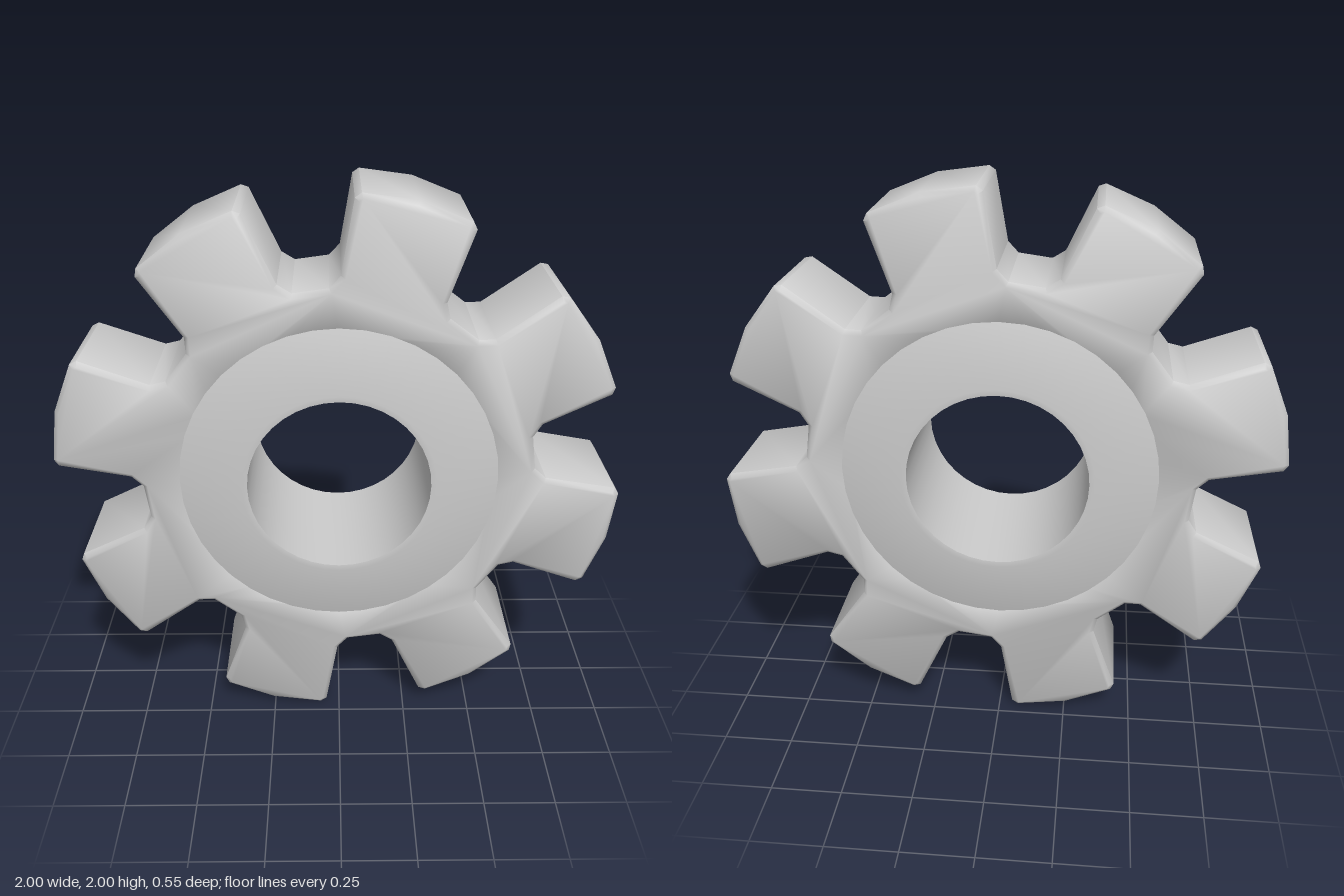
import * as THREE from 'three';
import { toCreasedNormals } from 'three/addons/utils/BufferGeometryUtils.js';

const TEETH = 8;
const FIRST_TOOTH = THREE.MathUtils.degToRad(30.3);
const HALF_DEPTH = 0.22;
const BEVEL = 0.016;

// Gear outline: each tooth widens outwards, has clipped corners and a flat root gap
function gearShape() {
  // [along the axis, sideways]
  const tooth = [[0.71, -0.18], [0.963, -0.202], [0.984, -0.184], [1.007, 0],
    [0.984, 0.184], [0.963, 0.202], [0.71, 0.18]];
  const gap = [[0.689, -0.062], [0.689, 0.062]];
  const points = [];
  const add = (list, angle) => {
    const c = Math.cos(angle), s = Math.sin(angle);
    for (const [a, w] of list) points.push(new THREE.Vector2(a * c - w * s, a * s + w * c));
  };
  const step = (Math.PI * 2) / TEETH;
  for (let i = 0; i < TEETH; i++) {
    add(tooth, FIRST_TOOTH + i * step);
    add(gap, FIRST_TOOTH + (i + 0.5) * step);
  }
  const shape = new THREE.Shape(points);
  shape.holes.push(new THREE.Path().absarc(0, 0, 0.53, 0, Math.PI * 2, true));
  return shape;
}

export function createModel() {
  const group = new THREE.Group();
  group.name = 'gear';
  const material = new THREE.MeshStandardMaterial({ color: 0xcccccc });

  // Toothed ring with bevelled edges, slightly thinner towards the tips
  const ring = new THREE.ExtrudeGeometry(gearShape(), {
    depth: 2 * (HALF_DEPTH - BEVEL), curveSegments: 20,
    bevelThickness: BEVEL, bevelSize: BEVEL, bevelOffset: -BEVEL, bevelSegments: 1,
  });
  ring.translate(0, 0, BEVEL - HALF_DEPTH);
  const pos = ring.attributes.position;
  for (let i = 0; i < pos.count; i++) {
    const r = Math.hypot(pos.getX(i), pos.getY(i));
    pos.setZ(i, pos.getZ(i) * (1 - 0.08 * Math.max(0, r - 0.56)));
  }
  const teeth = new THREE.Mesh(toCreasedNormals(ring, 0.9), material);
  teeth.name = 'toothedRing';

  // Hub: shallow cone on both faces and the round bore through the middle
  const profile = [[0.56, 0.22], [0.34, 0.277], [0.32, 0.275], [0.32, -0.275], [0.34, -0.277], [0.56, -0.22]]
    .map(([r, y]) => new THREE.Vector2(r, y));
  const lathe = new THREE.LatheGeometry(profile, 40);
  lathe.rotateX(Math.PI / 2);
  const hub = new THREE.Mesh(toCreasedNormals(lathe, 0.6), material);
  hub.name = 'hub';

  for (const mesh of [teeth, hub]) {
    mesh.position.y = 1;
    group.add(mesh);
  }
  return group;
}
